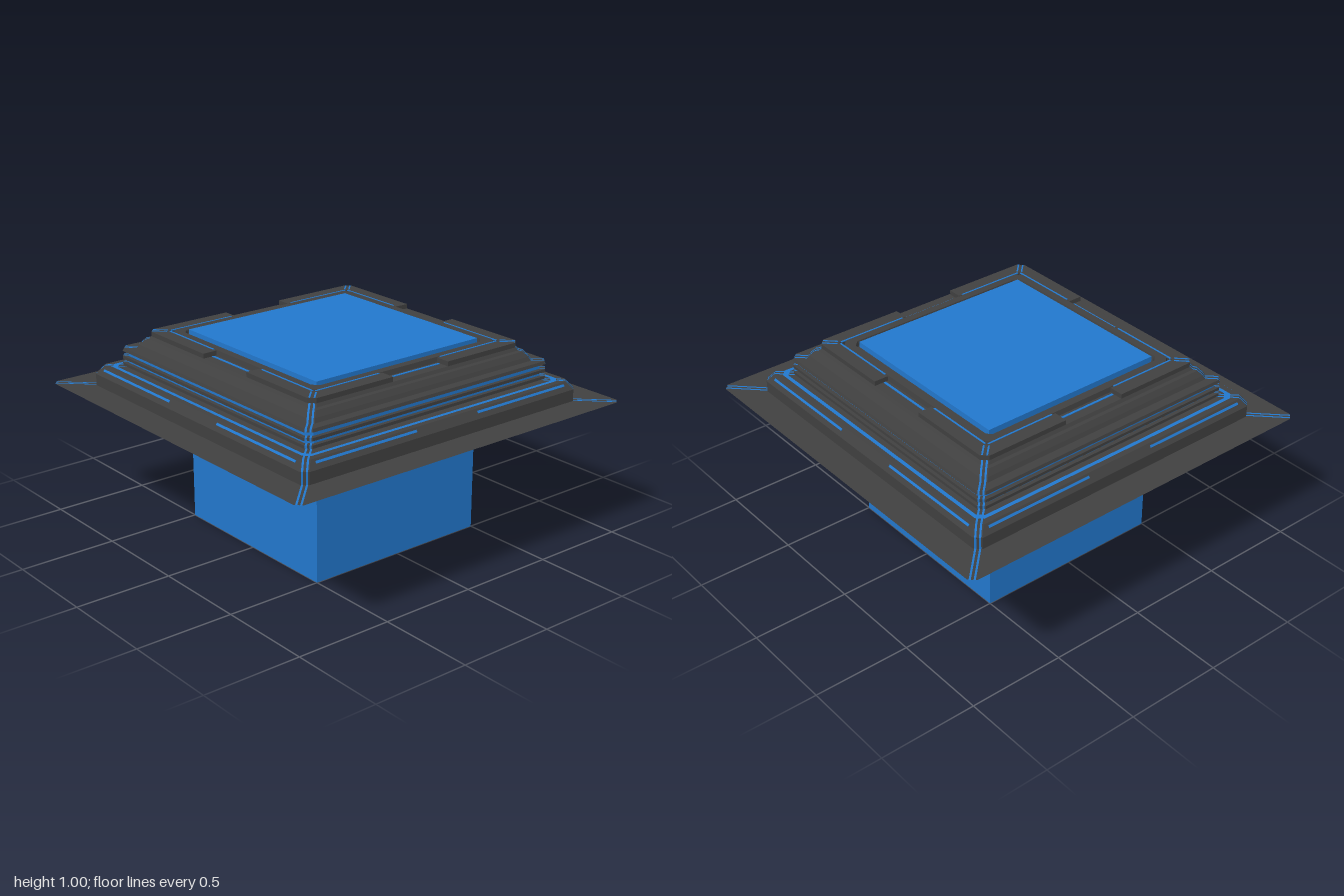
import * as THREE from 'three';

const dark = new THREE.MeshStandardMaterial({ color: 0x404040, side: THREE.DoubleSide });
dark.name = 'charcoal';
const blue = new THREE.MeshStandardMaterial({ color: 0x2277cc, side: THREE.DoubleSide });
blue.name = 'blue';

const CUT = 0.03; // width of the cut corners

// Square loop with cut corners; each cut is divided for the two corner stripes
function squareLoop(r) {
  const pts = [];
  for (let q = 0; q < 4; q++) {
    const c = [1, 0, -1, 0][q], s = [0, 1, 0, -1][q];
    for (const t of [0, 0.14, 0.36, 0.64, 0.86, 1]) {
      const x = r - CUT * t, z = r - CUT * (1 - t);
      pts.push([x * c - z * s, x * s + z * c]);
    }
  }
  return pts;
}

// Sweeps a profile of [radius, height, isBlue] around the square
function squareShell(profile, stripes) {
  const lists = [[], []];
  for (let i = 0; i < profile.length - 1; i++) {
    const [r0, y0, isBlue] = profile[i], [r1, y1] = profile[i + 1];
    const lo = squareLoop(r0), hi = squareLoop(r1), n = lo.length;
    for (let k = 0; k < n; k++) {
      const m = (k + 1) % n, stripe = stripes && (k % 6 === 1 || k % 6 === 3);
      const a = [lo[k][0], y0, lo[k][1]], b = [lo[m][0], y0, lo[m][1]];
      const c = [hi[m][0], y1, hi[m][1]], d = [hi[k][0], y1, hi[k][1]];
      lists[isBlue || stripe ? 1 : 0].push(...a, ...d, ...c, ...a, ...c, ...b);
    }
  }
  const geo = new THREE.BufferGeometry();
  geo.setAttribute('position', new THREE.Float32BufferAttribute(lists[0].concat(lists[1]), 3));
  geo.addGroup(0, lists[0].length / 3, 0);
  geo.addGroup(lists[0].length / 3, lists[1].length / 3, 1);
  geo.computeVertexNormals();
  return new THREE.Mesh(geo, [dark, blue]);
}

function box(parent, name, mat, size, pos) {
  const mesh = new THREE.Mesh(new THREE.BoxGeometry(...size), mat);
  mesh.name = name;
  mesh.position.set(...pos);
  parent.add(mesh);
  return mesh;
}

export function createModel() {
  const model = new THREE.Group();
  model.name = 'squarePedestal';

  // Central block passing through the collar
  box(model, 'centralBlock', blue, [1, 1, 1], [0, 0.5, 0]);

  // Flange, skirt and ribbed tier
  const collar = squareShell([
    [1, 0.70], [0.85, 0.70], [0.85, 0.76], [0.82, 0.80], [0.79, 0.80, true], [0.77, 0.80],
    [0.73, 0.80], [0.73, 0.81], [0.75, 0.81], [0.75, 0.825], [0.73, 0.825, true],
    [0.73, 0.845], [0.75, 0.845], [0.75, 0.86], [0.73, 0.86, true],
    [0.73, 0.885], [0.75, 0.885], [0.745, 0.90], [0.70, 0.90],
    [0.69, 0.92], [0.67, 0.945], [0.655, 0.95], [0.645, 0.965], [0.57, 0.965],
  ], true);
  collar.name = 'steppedCollar';
  model.add(collar);

  // Raised inner frame with a narrow gap around the block
  const frame = squareShell([[0.57, 0.965], [0.565, 0.99], [0.525, 0.99], [0.52, 0.97], [0.5, 0.97]], false);
  frame.name = 'innerFrame';
  model.add(frame);

  // Raised corner plates, leaving a notch in the middle of each side
  const ell = new THREE.Shape([
    [0.17, 0.645], [0.615, 0.645], [0.645, 0.615], [0.645, 0.17],
    [0.57, 0.17], [0.57, 0.57], [0.17, 0.57],
  ].map(([x, y]) => new THREE.Vector2(x, y)));
  const ellGeo = new THREE.ExtrudeGeometry(ell, { depth: 0.026, bevelEnabled: false });
  ellGeo.rotateX(-Math.PI / 2);

  for (let i = 0; i < 4; i++) {
    const side = new THREE.Group();
    side.name = 'side' + (i + 1);
    side.rotation.y = i * Math.PI / 2;
    model.add(side);

    const corner = new THREE.Mesh(ellGeo, dark);
    corner.name = 'cornerPlate';
    corner.position.y = 0.963;
    side.add(corner);

    // Two diagonal stripes over the corner plate
    for (const s of [-1, 1]) {
      const stripe = box(side, 'cornerStripe', blue, [0.075, 0.003, 0.008],
        [0.602 + s * 0.008, 0.989, -0.602 + s * 0.008]);
      stripe.rotation.y = Math.PI / 4;
    }

    // Lines beside the inner frame, and the line on the notch floor
    for (const s of [-1, 1]) {
      box(side, 'frameLine', blue, [0.37, 0.004, 0.009], [s * 0.375, 0.989, 0.57]);
    }
    box(side, 'notchLine', blue, [0.33, 0.004, 0.012], [0, 0.966, 0.592]);

    // Light slits in the sloping edge of the skirt
    for (const s of [-1, 1]) {
      const slit = box(side, 'skirtSlit', blue, [0.58, 0.012, 0.006], [s * 0.48, 0.786, 0.8305]);
      slit.rotation.x = -Math.atan2(0.03, 0.04);
    }
  }
  return model;
}
